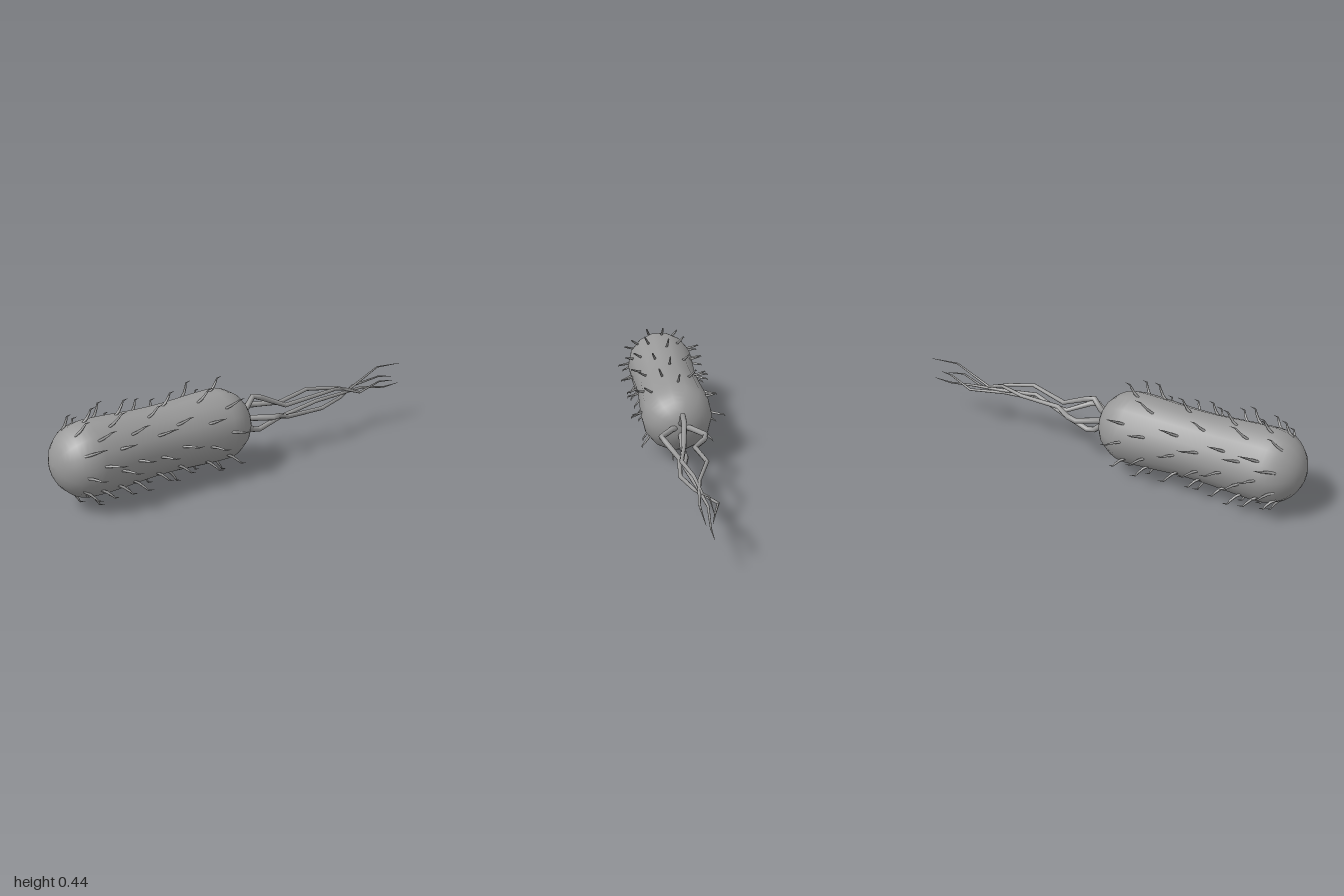
import * as THREE from 'three';

const CX = -0.015, CY = 0.222;

// Tapered tube with straight runs between rings; ref is a vector roughly across the path
function taperedTube(points, radii, sides, ref) {
  const pos = [], index = [];
  const n = points.length;
  points.forEach((p, i) => {
    const t = points[Math.min(i + 1, n - 1)].clone().sub(points[Math.max(i - 1, 0)]).normalize();
    const u = ref.clone().addScaledVector(t, -ref.dot(t)).normalize();
    const v = t.clone().cross(u);
    for (let k = 0; k < sides; k++) {
      const a = (k / sides) * Math.PI * 2;
      const q = p.clone()
        .addScaledVector(u, Math.cos(a) * radii[i])
        .addScaledVector(v, Math.sin(a) * radii[i]);
      pos.push(q.x, q.y, q.z);
    }
  });
  for (let i = 0; i < n - 1; i++) {
    for (let k = 0; k < sides; k++) {
      const a = i * sides + k, b = i * sides + (k + 1) % sides;
      index.push(a, b, b + sides, a, b + sides, a + sides);
    }
  }
  const g = new THREE.BufferGeometry();
  g.setAttribute('position', new THREE.Float32BufferAttribute(pos, 3));
  g.setIndex(index);
  g.computeVertexNormals();
  return g;
}

// Body radius at a given z: round caps, slight waist between them
function bodyRadius(z) {
  const r = 0.167, end = 0.995;
  if (z < r) return Math.sqrt(Math.max(0, r * r - (r - z) ** 2));
  if (z > end - r) return Math.sqrt(Math.max(0, r * r - (z - end + r) ** 2));
  return r - 0.013 * Math.sin(Math.PI * (z - r) / (end - 2 * r)) ** 2;
}

export function createModel() {
  const model = new THREE.Group();
  const grey = new THREE.MeshStandardMaterial({ color: 0x999999 });
  grey.name = 'grey';

  // Capsule-shaped cell body lying along z
  const profile = [];
  for (let i = 0; i <= 10; i++) {
    const z = 0.167 * (1 - Math.cos(i / 10 * Math.PI / 2));
    profile.push(new THREE.Vector2(bodyRadius(z), z));
  }
  for (let i = 1; i < 10; i++) {
    const z = 0.167 + i / 10 * 0.661;
    profile.push(new THREE.Vector2(bodyRadius(z), z));
  }
  for (let i = 0; i <= 10; i++) {
    const z = 0.828 + 0.167 * Math.sin(i / 10 * Math.PI / 2);
    profile.push(new THREE.Vector2(bodyRadius(z), z));
  }
  const bodyGeo = new THREE.LatheGeometry(profile, 14, Math.PI / 14);
  bodyGeo.rotateX(Math.PI / 2);
  const body = new THREE.Mesh(bodyGeo, grey);
  body.name = 'cellBody';
  body.position.set(CX, CY, 0);
  model.add(body);

  // Short bent hairs in staggered rings, swept towards the back
  const hairs = new THREE.Group();
  hairs.name = 'hairs';
  const ringZ = [0.18, 0.29, 0.44, 0.55, 0.67, 0.75, 0.83, 0.9];
  const ringAngles = [
    [93, 43, 3, -40, -82, -140, -180, 147],
    [68, 28, -8, -42, -97, -135, -162, 160, 120],
  ];
  // Steps of [outwards, backwards]
  const bend = [[-0.012, -0.012], [0.008, 0.012], [0.03, 0.027], [0.047, 0.036], [0.052, 0.06]];
  const hairRadii = [0.006, 0.006, 0.005, 0.0035, 0.0003];
  ringZ.forEach((z, row) => {
    ringAngles[row % 2].forEach((deg, k) => {
      const a = THREE.MathUtils.degToRad(deg + 3 * Math.sin(row * 2.1 + k));
      const size = 1 + 0.12 * Math.sin(row * 1.7 + k * 2.3);
      const r = bodyRadius(z);
      const pts = bend.map(([out, back]) => new THREE.Vector3(
        CX + Math.cos(a) * (r + out * size),
        CY + Math.sin(a) * (r + out * size),
        z - back * size));
      const across = new THREE.Vector3(-Math.sin(a), Math.cos(a), 0);
      const hair = new THREE.Mesh(taperedTube(pts, hairRadii, 6, across), grey);
      hair.name = 'hair';
      hairs.add(hair);
    });
  });
  model.add(hairs);

  // Four long wavy tails rooted in the back cap
  const tails = new THREE.Group();
  tails.name = 'tails';
  const paths = [
    // upper
    [[-0.015, 0.24, 0.02], [-0.015, 0.265, -0.015], [-0.015, 0.312, -0.05], [-0.015, 0.295, -0.1],
      [0.005, 0.235, -0.23], [0.04, 0.262, -0.42], [0.005, 0.25, -0.54], [-0.015, 0.222, -0.65],
      [-0.015, 0.3, -0.83], [-0.015, 0.29, -0.99]],
    // lower
    [[-0.015, 0.2, 0.02], [-0.015, 0.18, -0.015], [-0.015, 0.15, -0.05], [-0.015, 0.142, -0.09],
      [-0.01, 0.175, -0.2], [0.025, 0.225, -0.4], [-0.005, 0.215, -0.58], [-0.025, 0.21, -0.74],
      [-0.015, 0.185, -0.88], [-0.015, 0.188, -0.98]],
    // left
    [[0.005, 0.225, 0.02], [0.03, 0.228, -0.01], [0.088, 0.23, -0.09], [0.075, 0.225, -0.13],
      [0.025, 0.185, -0.23], [0.045, 0.19, -0.42], [0.005, 0.2, -0.57], [-0.07, 0.21, -0.72],
      [-0.035, 0.24, -0.86], [-0.015, 0.232, -0.93]],
    // right
    [[-0.035, 0.225, 0.02], [-0.06, 0.228, -0.01], [-0.115, 0.23, -0.09], [-0.1, 0.23, -0.14],
      [-0.045, 0.235, -0.23], [-0.07, 0.255, -0.42], [-0.015, 0.245, -0.57], [0.005, 0.2, -0.7],
      [0.015, 0.235, -0.82], [0.01, 0.22, -0.92]],
  ];
  const tailRadii = [0.014, 0.014, 0.0135, 0.013, 0.011, 0.0095, 0.008, 0.006, 0.004, 0.0008];
  const ref = new THREE.Vector3(0.6, 0.8, 0);
  paths.forEach((path) => {
    const pts = path.map((p) => new THREE.Vector3(...p));
    const tail = new THREE.Mesh(taperedTube(pts, tailRadii, 8, ref), grey);
    tail.name = 'tail';
    tails.add(tail);
  });
  model.add(tails);

  return model;
}
